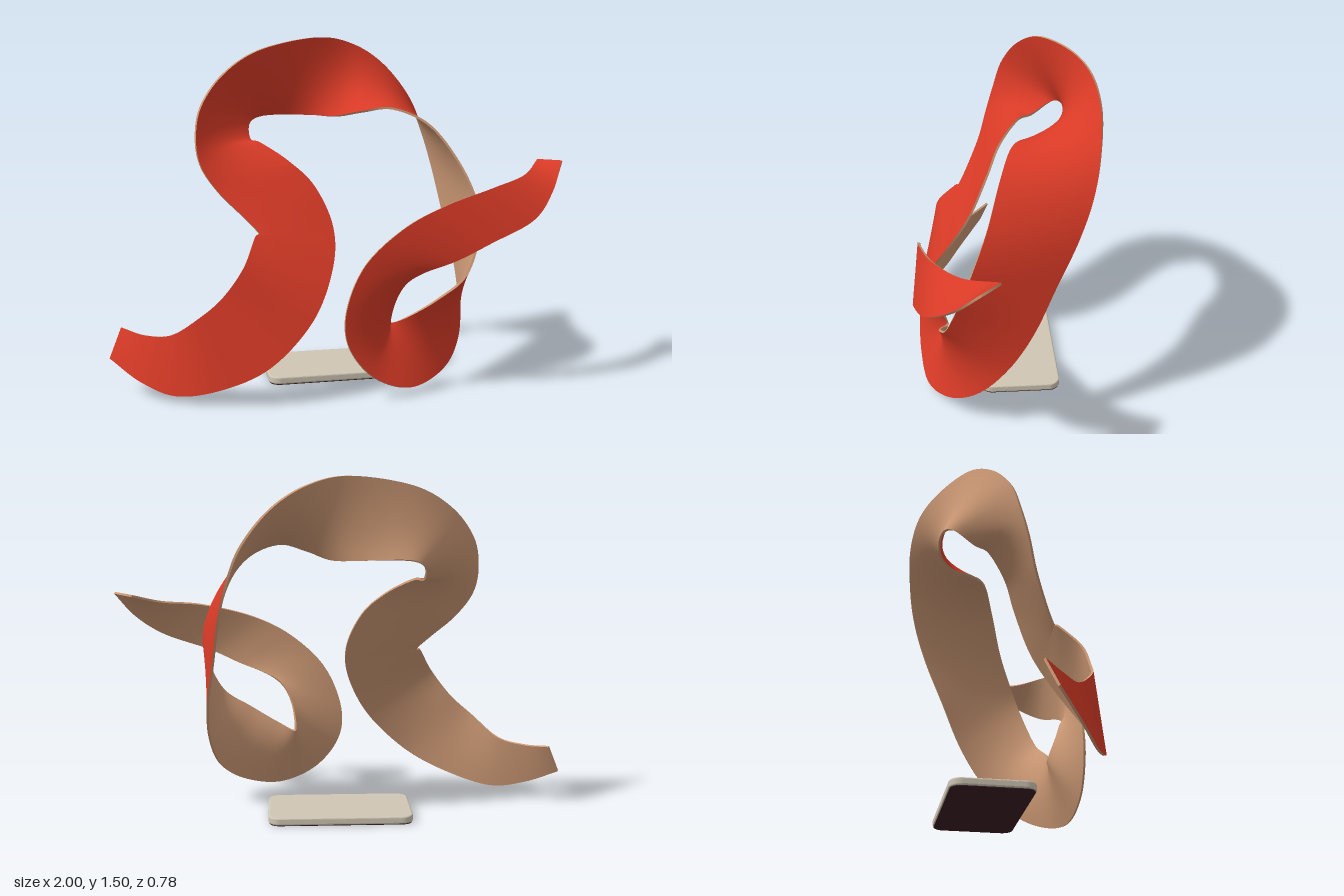
import * as THREE from 'three';

const paint = (name, color, side = THREE.FrontSide) => {
  const m = new THREE.MeshStandardMaterial({ color, side });
  m.name = name;
  return m;
};

// The two long edges of the ribbon, paired point by point from tail to tip
const EDGE_A = [
  [-1, .15, .04], [-.87, .07, .15], [-.72, .03, .24], [-.52, .08, .32], [-.33, .18, .36], [-.15, .36, .32],
  [-.05, .56, .22], [-.035, .72, .13], [-.1, .88, .05], [-.2, .98, -.01], [-.31, 1.05, -.1], [-.35, 1.06, -.17],
  [-.345, 1.12, -.25], [-.29, 1.15, -.29], [-.18, 1.155, -.3], [-.05, 1.15, -.275], [.05, 1.15, -.21], [.15, 1.18, -.11],
  [.27, 1.2, -.03], [.42, 1.13, .03], [.54, .97, .09], [.605, .8, .16], [.6, .66, .21], [.53, .5, .26],
  [.4, .41, .285], [.28, .34, .275], [.21, .305, .25], [.195, .32, .25], [.21, .42, .29], [.25, .5, .32],
  [.32, .55, .35], [.45, .6, .38], [.6, .67, .385], [.8, .75, .34], [.92, .85, .24], [1, .97, .14],
];
const EDGE_B = [
  [-.945, .275, 0], [-.85, .262, .09], [-.74, .28, .17], [-.63, .37, .25], [-.53, .46, .27], [-.44, .58, .26],
  [-.38, .69, .18], [-.36, .705, .165], [-.42, .77, .12], [-.52, .87, .06], [-.59, .98, .02], [-.605, 1.1, -.015],
  [-.575, 1.23, -.05], [-.47, 1.36, -.11], [-.3, 1.455, -.19], [-.03, 1.5, -.29], [.15, 1.465, -.36], [.3, 1.37, -.385],
  [.42, 1.22, -.37], [.48, 1.07, -.34], [.52, .9, -.28], [.55, .7, -.19], [.58, .5, -.1], [.58, .33, 0],
  [.54, .18, .12], [.44, .08, .24], [.27, .035, .335], [.1, .1, .365], [-.01, .24, .365], [-.02, .4, .36],
  [.06, .59, .355], [.22, .74, .36], [.4, .83, .355], [.62, .89, .31], [.8, .92, .2], [.915, .965, .06],
];

// Smooth surface through a grid of points
function gridGeometry(rows, flip) {
  const n = rows[0].length, index = [];
  for (let i = 0; i < rows.length - 1; i++) {
    for (let j = 0; j < n - 1; j++) {
      const a = i * n + j, b = a + n, c = b + 1, d = a + 1;
      index.push(...(flip ? [a, c, b, a, d, c] : [a, b, c, a, c, d]));
    }
  }
  const g = new THREE.BufferGeometry().setFromPoints(rows.flat());
  g.setIndex(index);
  g.computeVertexNormals();
  return g;
}

function buildRibbon(red, tan, rimTan) {
  const STEPS = 350, ACROSS = 10, HALF = 0.005;
  const curve = (pts) => new THREE.CatmullRomCurve3(
    pts.map((p) => new THREE.Vector3(...p)), false, 'catmullrom', 0.5);
  const a = curve(EDGE_A), b = curve(EDGE_B);
  const at = (t, s) => a.getPoint(t).lerp(b.getPoint(t), s);

  // Offset the ruled surface to both sides to give it thickness
  const front = [], back = [];
  for (let i = 0; i <= STEPS; i++) {
    const t = i / STEPS, f = [], k = [];
    const t0 = Math.max(0, t - 0.004), t1 = Math.min(1, t + 0.004);
    const rule = b.getPoint(t).sub(a.getPoint(t));
    for (let j = 0; j <= ACROSS; j++) {
      const s = j / ACROSS, p = at(t, s);
      const normal = at(t1, s).sub(at(t0, s)).cross(rule).normalize();
      f.push(p.clone().addScaledVector(normal, HALF));
      k.push(p.clone().addScaledVector(normal, -HALF));
    }
    front.push(f);
    back.push(k);
  }

  const ribbon = new THREE.Group();
  ribbon.name = 'ribbon';
  const add = (name, rows, flip, material) => {
    const mesh = new THREE.Mesh(gridGeometry(rows, flip), material);
    mesh.name = name;
    ribbon.add(mesh);
  };
  add('ribbonFront', front, false, red);
  add('ribbonBack', back, true, tan);
  // Thin rims along both edges and both ends
  for (const j of [0, ACROSS]) {
    add('ribbonEdge', front.map((r, i) => [r[j], back[i][j]]), false, rimTan);
  }
  for (const i of [0, STEPS]) {
    add('ribbonEnd', [front[i], back[i]], false, rimTan);
  }
  return ribbon;
}

// Flat slab with rounded corners, lying in the xz plane
function slabGeometry(w, d, r, height, bevel) {
  const x = w / 2 - bevel, y = d / 2 - bevel;
  const s = new THREE.Shape();
  s.moveTo(-x + r, -y);
  s.lineTo(x - r, -y);
  s.absarc(x - r, -y + r, r, -Math.PI / 2, 0);
  s.absarc(x - r, y - r, r, 0, Math.PI / 2);
  s.absarc(-x + r, y - r, r, Math.PI / 2, Math.PI);
  s.absarc(-x + r, -y + r, r, Math.PI, Math.PI * 1.5);
  const g = new THREE.ExtrudeGeometry(s, {
    depth: height - 2 * bevel, bevelEnabled: bevel > 0, bevelSize: bevel,
    bevelThickness: bevel, bevelSegments: 3, curveSegments: 10,
  });
  return g.rotateX(-Math.PI / 2).translate(0, bevel, 0);
}

export function createModel() {
  const red = paint('red', 0xd83a26);
  const tan = paint('tan', 0xcb9874);
  const rimTan = paint('rim tan', 0xcb9874, THREE.DoubleSide);
  const stone = paint('stone', 0xcfc6b4);
  const dark = paint('dark felt', 0x3a2024);

  const model = new THREE.Group();
  model.name = 'ribbonSculpture';
  model.add(buildRibbon(red, tan, rimTan));

  // Base slab with a dark pad beneath
  const base = new THREE.Mesh(slabGeometry(0.63, 0.355, 0.045, 0.033, 0.007), stone);
  base.name = 'baseSlab';
  base.position.set(0.005, 0.003, -0.073);
  const pad = new THREE.Mesh(slabGeometry(0.62, 0.345, 0.045, 0.005, 0), dark);
  pad.name = 'basePad';
  pad.position.set(0.005, 0, -0.073);
  model.add(base, pad);
  return model;
}
